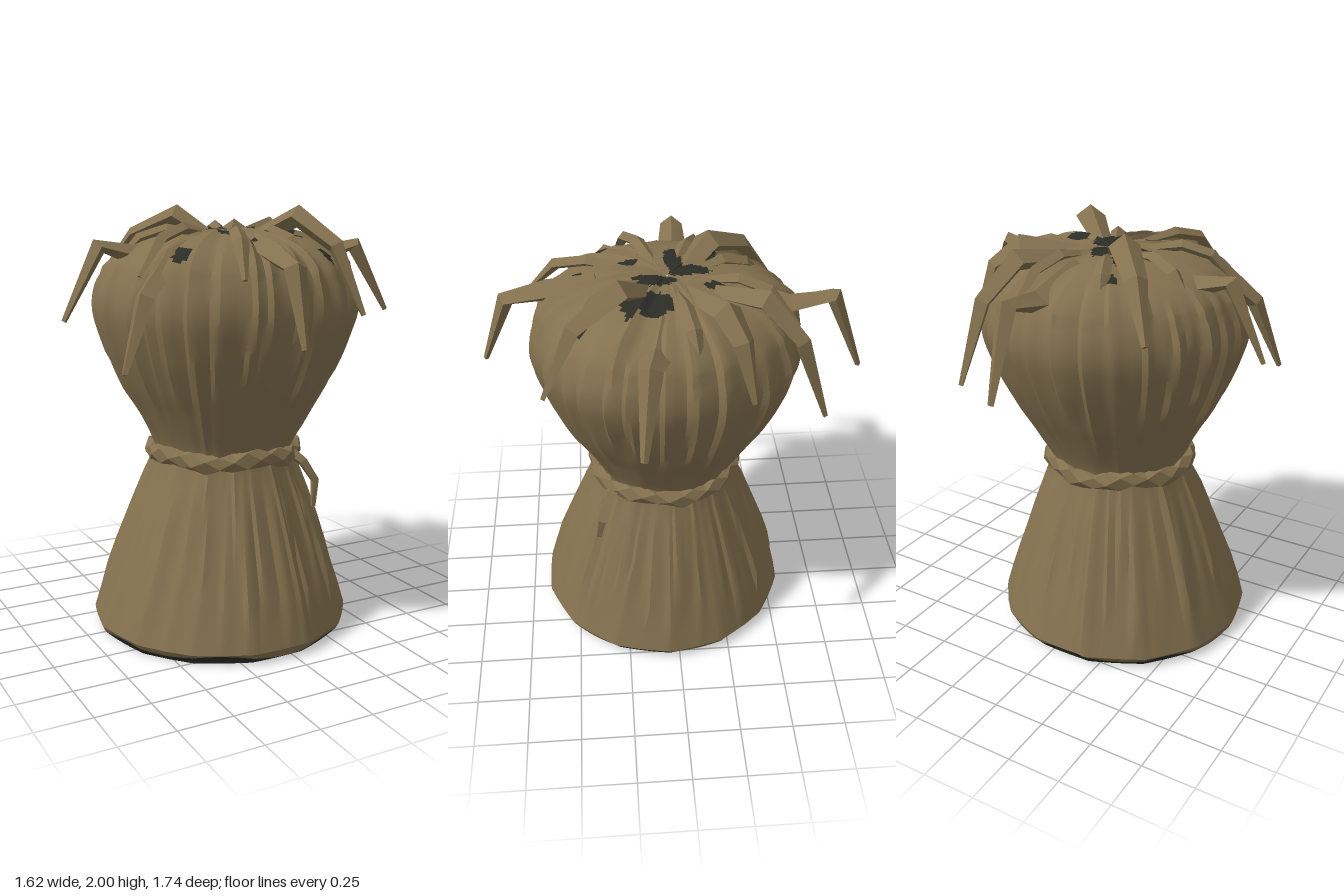
import * as THREE from 'three';
import { toCreasedNormals } from 'three/addons/utils/BufferGeometryUtils.js';

const straw = new THREE.MeshStandardMaterial({ color: 0x84714f });
straw.name = 'straw';
const dark = new THREE.MeshStandardMaterial({ color: 0x2c2d27 });
dark.name = 'dark hollow';

let seed = 7;
const rnd = (a = 0, b = 1) => {
  seed = (seed * 16807) % 2147483647;
  return a + (b - a) * seed / 2147483647;
};
const V = (x, y, z) => new THREE.Vector3(x, y, z);

// Skins closed loops of points; cells picked by isDark get the dark material
function skin(rows, crease, isDark = () => false) {
  const pos = [], light = [], shade = [], n = rows[0].length;
  rows.forEach(r => r.forEach(p => pos.push(p.x, p.y, p.z)));
  for (let i = 0; i < rows.length - 1; i++) {
    for (let j = 0; j < n; j++) {
      const k = (j + 1) % n, a = i * n + j, b = a + n, c = i * n + k, d = c + n;
      const mid = rows[i][j].clone().add(rows[i + 1][k]).multiplyScalar(0.5);
      (isDark(mid, i) ? shade : light).push(a, b, c, c, b, d);
    }
  }
  const g = new THREE.BufferGeometry();
  g.setAttribute('position', new THREE.Float32BufferAttribute(pos, 3));
  g.setIndex([...light, ...shade]);
  g.addGroup(0, light.length, 0);
  if (shade.length) g.addGroup(light.length, shade.length, 1);
  return toCreasedNormals(g, crease);
}

// The bundle leans slightly, so its axis shifts with height
const axis = y => [-0.07 + 0.03 * y, 0.05 - 0.015 * y];

// Folds: a slow rise and a sharp drop around the axis, each over its own height
function makeFolds(count, y0, y1, amp) {
  return Array.from({ length: count }, (_, i) => ({
    a: (i + rnd(0.1, 0.9)) / count * Math.PI * 2, w: rnd(0.07, 0.2), amp: rnd(0.3, 1) * amp,
    lo: y0 + rnd(-0.1, 0.35) * (y1 - y0), hi: y1 - rnd(-0.1, 0.2) * (y1 - y0), slant: rnd(-0.09, 0.09),
  }));
}
function foldDepth(folds, a, y) {
  let d = 0;
  for (const f of folds) {
    const t = (y - f.lo) / (f.hi - f.lo);
    if (t <= 0 || t >= 1) continue;
    let u = (a - f.a - f.slant * (t - 0.5)) / f.w;
    const turn = Math.PI * 2 / f.w;
    u -= Math.round(u / turn) * turn;
    if (u > -1 && u < 0.25) d = Math.max(d, f.amp * (u < 0 ? 1 + u : 1 - u * 4) * Math.min(1, 4 * t, 4 * (1 - t)));
  }
  return d;
}

const SEG = 168;
function ring(y, r, folds, sides) {
  const [cx, cz] = axis(y);
  return Array.from({ length: SEG }, (_, j) => {
    const a = j / SEG * Math.PI * 2, s = Math.PI / sides;
    const flat = Math.cos(s) / Math.cos((a % (2 * s)) - s);
    const d = foldDepth(folds, a, y);
    const R = r * (0.35 + 0.65 * flat) * 1.008 + (d - 0.007) * Math.min(1, r / 0.61);
    return V(cx + R * Math.cos(a), y + (y > 1.7 ? d * 1.1 * Math.min(1, r * 5) : 0), cz + R * Math.sin(a));
  });
}

// Four-sided tapering strip swept along a path, closed to a point at both ends
function bladeGeometry(points, widths, thick = 0.75) {
  const last = points[points.length - 1];
  const s = V(points[0].z - last.z, 0, last.x - points[0].x).normalize();
  const rows = points.map((p, i) => {
    const t = points[Math.min(i + 1, points.length - 1)].clone().sub(points[Math.max(i - 1, 0)]).normalize();
    const n = s.clone().cross(t).normalize();
    return [[1, 0], [0, thick], [-1, 0], [0, -thick]].map(([u, v]) =>
      p.clone().addScaledVector(s, u * widths[i]).addScaledVector(n, v * widths[i]));
  });
  const cap = p => rows[0].map(() => p.clone());
  return skin([cap(points[0]), ...rows, cap(last)], 0.3);
}

export function createModel() {
  const model = new THREE.Group();
  const add = (name, geometry, material = straw) => {
    const m = new THREE.Mesh(geometry, material);
    m.name = name;
    model.add(m);
  };

  // Skirt: flared lower half with dark underside
  const skirtFolds = makeFolds(44, 0.06, 0.92, 0.03);
  const skirtProfile = [[0, 0], [0, 0.585], [0.026, 0.606], [0.052, 0.622], [0.16, 0.588], [0.28, 0.545], [0.4, 0.5],
    [0.52, 0.455], [0.64, 0.41], [0.74, 0.37], [0.82, 0.34], [0.88, 0.325]];
  const skirtRows = skirtProfile.map(([y, r]) => ring(y, r, skirtFolds, 14));
  skirtRows[2].forEach((p, j) => {
    const a = j / SEG * Math.PI * 2;
    p.y += 0.009 * Math.sin(a * 7) + 0.008 * Math.sin(a * 3 + 1);
  });
  add('skirt', skin(skirtRows, 0.5, (p, i) => i < 2), [straw, dark]);

  // Head: bulging upper half, folds gathered at the crown, dark gaps between straws
  const headFolds = makeFolds(32, 0.8, 2.0, 0.034);
  const headCurve = new THREE.SplineCurve([[0.325, 0.84], [0.35, 0.92], [0.42, 1.06], [0.495, 1.2], [0.565, 1.37],
    [0.607, 1.54], [0.575, 1.69], [0.49, 1.79], [0.36, 1.85], [0.22, 1.88], [0.1, 1.89], [0.004, 1.875]]
    .map(p => new THREE.Vector2(...p)));
  const headRows = headCurve.getPoints(70).map(p => ring(p.y, Math.max(p.x, 0.003), headFolds, 18));
  const gaps = [[-0.15, -0.01, 0.11, 0.04], [-0.03, -0.08, 0.05, 0.09], [0.05, 0.08, 0.05, 0.1], [0.23, 0.1, 0.08, 0.09],
    [-0.19, -0.33, 0.05, 0.03], [-0.12, 0.2, 0.03, 0.05], [-0.4, 0.32, 0.05, 0.05], [0.1, -0.17, 0.025, 0.04],
    [-0.17, -0.18, 0.1, 0.035], [0.2, 0.2, 0.1, 0.03], [-0.08, 0.42, 0.02, 0.04], [0.28, 0.42, 0.03, 0.05]];
  add('head', skin(headRows, 0.5, p => p.y > 1.65 && gaps.some(([x, z, a, b]) =>
    ((p.x - x) / a) ** 2 + ((p.z - z) / b) ** 2 < rnd(0.85, 1.15))), [straw, dark]);

  // Bent straws: root, rise, knee, tip
  const bent = [
    [[-0.04, 1.85, 0.33], [-0.06, 1.8, 0.54], [-0.08, 1.75, 0.74], [-0.1, 1.43, 0.86]],
    [[0.02, 1.86, -0.25], [0.06, 1.75, -0.5], [0.06, 1.79, -0.71], [0.05, 1.41, -0.86]],
    [[0.12, 1.86, -0.18], [0.24, 1.88, -0.38], [0.32, 1.72, -0.53], [0.37, 1.36, -0.65]],
    [[0.3, 1.84, 0.06], [0.46, 1.76, 0.1], [0.63, 1.81, 0.13], [0.8, 1.49, 0.17]],
    [[0.1, 1.86, 0.12], [0.24, 1.95, 0.24], [0.32, 1.82, 0.44], [0.38, 1.52, 0.58]],
    [[-0.2, 1.85, 0.14], [-0.42, 1.77, 0.28], [-0.58, 1.62, 0.36], [-0.7, 1.31, 0.41]],
    [[-0.24, 1.85, 0.0], [-0.44, 1.77, -0.03], [-0.63, 1.82, -0.04], [-0.8, 1.49, -0.05]],
    [[-0.08, 1.86, -0.06], [-0.18, 1.95, -0.17], [-0.33, 1.86, -0.34], [-0.46, 1.64, -0.49]],
    [[0.12, 1.86, -0.06], [0.34, 1.89, -0.2], [0.44, 1.8, -0.26], [0.52, 1.55, -0.31]],
  ];
  for (const path of bent) {
    add('bentStraw', bladeGeometry(path.map(p => V(...p)), [0.045, 0.07, 0.052, 0.016]));
  }

  // Short tufts gathered round the crown: angle, reach, height
  const tufts = [[1.15, 0.33, 1.91], [1.95, 0.5, 1.91], [2.75, 0.42, 1.92], [3.5, 0.38, 1.91],
    [4.3, 0.36, 1.91], [5.0, 0.42, 1.92], [6.1, 0.4, 1.91]];
  for (const [a, r, top] of tufts) {
    const at = (q, y) => V(-0.01 + q * Math.cos(a), y, 0.02 + q * Math.sin(a));
    add('crownTuft', bladeGeometry([at(0.08, 1.865), at(r * 0.75, top - 0.02), at(r + 0.03, top - 0.06), at(r + 0.17, 1.7)],
      [0.015, 0.035, 0.036, 0.012]));
  }

  // Twisted cord round the waist
  const cordRows = [];
  const steps = 36;
  const [cordX, cordZ] = axis(0.86);
  for (let i = 0; i <= steps; i++) {
    const a = -i / steps * Math.PI * 2, twist = i * Math.PI * 2 / 9;
    const swell = 1 + 0.15 * Math.sin(i * Math.PI * 5 / 9), y = 0.857 + 0.01 * Math.sin(a * 5);
    cordRows.push(Array.from({ length: 4 }, (_, j) => {
      const b = j / 4 * Math.PI * 2 + twist;
      const R = 0.342 + 0.036 * swell * Math.cos(b);
      return V(cordX + R * Math.cos(a), y + 0.046 * swell * Math.sin(b), cordZ + R * Math.sin(a));
    }));
  }
  add('waistCord', skin(cordRows, 0.3));

  // Loose cord end
  add('cordEnd', bladeGeometry([V(0.18, 0.86, 0.28), V(0.23, 0.81, 0.33), V(0.28, 0.72, 0.36), V(0.26, 0.6, 0.38)],
    [0.036, 0.032, 0.028, 0.016]));

  return model;
}
